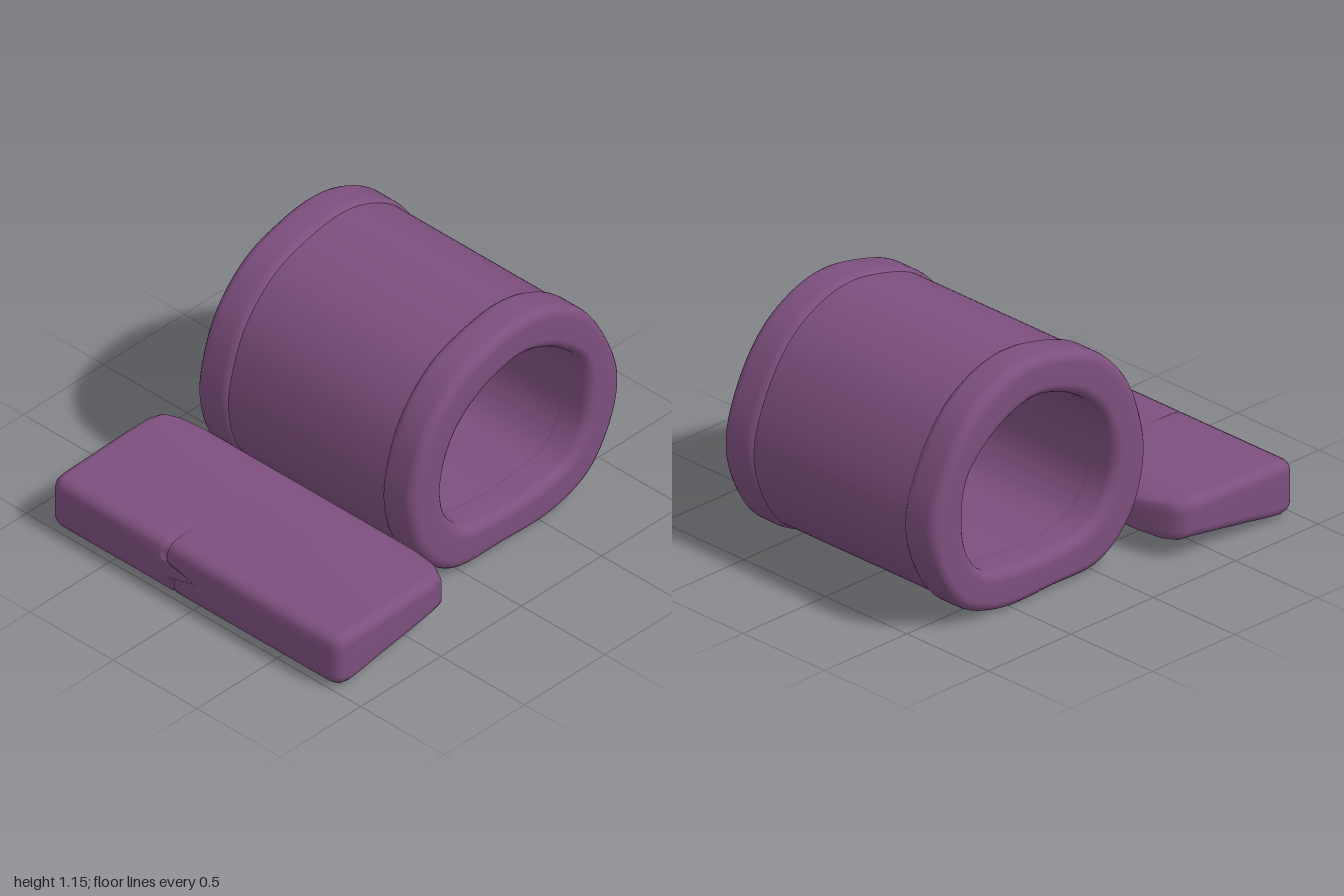
import * as THREE from 'three';

// Closed surface through rings of equal length; optionally closed from last ring to first
function loft(rings, closed) {
  const n = rings[0].length, index = [];
  const last = closed ? rings.length : rings.length - 1;
  for (let i = 0; i < last; i++) {
    const i2 = (i + 1) % rings.length;
    for (let j = 0; j < n; j++) {
      const k = (j + 1) % n;
      const a = i * n + j, b = i2 * n + j, c = i2 * n + k, d = i * n + k;
      index.push(a, b, c, a, c, d);
    }
  }
  const geo = new THREE.BufferGeometry().setFromPoints(rings.flat());
  geo.setIndex(index);
  geo.computeVertexNormals();
  return geo;
}

// Counter-clockwise rounded rectangle as [x, y] pairs, starting at the lower right corner
function roundedRect(x0, x1, y0, y1, rx, ry) {
  const pts = [], corners = [[x1 - rx, y0 + ry], [x1 - rx, y1 - ry], [x0 + rx, y1 - ry], [x0 + rx, y0 + ry]];
  corners.forEach(([cx, cy], q) => {
    for (let s = 0; s <= 5; s++) {
      const a = (q - 1 + s / 5) * Math.PI / 2;
      pts.push([cx + rx * Math.cos(a), cy + ry * Math.sin(a)]);
    }
  });
  return pts;
}

// Side outlines of the roll as [z, y], matched point for point
const outer = [[-0.4, 1.155], [-0.58, 1.115], [-0.76, 1.0], [-0.9, 0.8], [-0.99, 0.53], [-0.94, 0.3],
  [-0.8, 0.1], [-0.57, 0.01], [-0.25, 0.01], [0.05, 0.03], [0.24, 0.2], [0.315, 0.45],
  [0.29, 0.65], [0.2, 0.87], [0.02, 1.05], [-0.2, 1.13]];
const inner = [[-0.37, 0.96], [-0.5, 0.925], [-0.62, 0.86], [-0.76, 0.72], [-0.79, 0.52], [-0.76, 0.35],
  [-0.66, 0.23], [-0.5, 0.195], [-0.27, 0.185], [-0.03, 0.225], [0.08, 0.34], [0.115, 0.48],
  [0.09, 0.65], [0.02, 0.78], [-0.1, 0.88], [-0.24, 0.94]];
const toCurve = (p) => new THREE.CatmullRomCurve3(p.map(([z, y]) => new THREE.Vector3(0, y, z)), true);

// Sweeps a wall section [x, t] around the roll; t runs from 0 (inner) to 1 (outer)
function sweep(section) {
  const co = toCurve(outer), ci = toCurve(inner), rings = [], steps = 96;
  for (let i = 0; i < steps; i++) {
    const o = co.getPoint(i / steps), p = ci.getPoint(i / steps);
    rings.push(section.map(([x, t]) => {
      const v = p.clone().lerp(o, t);
      v.x = x;
      return v;
    }));
  }
  return loft(rings, true);
}

// Flat slab from cross-sections along z, with a shallow seam at its front edge
function slab() {
  // z, half width, bottom, top, corner radius
  const stations = [
    [0.25, 0.01, 0.17, 0.18, 0.004], [0.25, 0.6, 0.13, 0.21, 0.03], [0.27, 0.67, 0.1, 0.25, 0.04],
    [0.3, 0.79, 0.09, 0.268, 0.05], [0.335, 0.845, 0.09, 0.278, 0.05], [0.4, 0.862, 0.092, 0.283, 0.05],
    [0.55, 0.865, 0.07, 0.281, 0.05], [0.75, 0.865, 0.038, 0.275, 0.05], [0.85, 0.865, 0.02, 0.272, 0.05],
    [0.92, 0.865, 0.011, 0.27, 0.05], [0.96, 0.86, 0.014, 0.266, 0.05], [0.985, 0.845, 0.028, 0.252, 0.045],
    [0.998, 0.815, 0.055, 0.225, 0.04], [1.0, 0.76, 0.1, 0.18, 0.03], [1.0, 0.01, 0.137, 0.143, 0.003]];
  const rings = stations.map(([z, w, y0, y1, r]) => {
    const pts = roundedRect(-w, w, y0, y1, r, r);
    // seam points along the top and the bottom
    const f = THREE.MathUtils.smoothstep(z, 0.75, 0.97);
    const line = (y, sx, sign) => [-0.04, -0.012, 0, 0.012, 0.04].map((d) => {
      const x = w > 0.3 ? sx + d : d * 0.1;
      const depth = w > 0.3 && Math.abs(d) < 0.005 ? 0.012 * f : 0;
      return [x, y - sign * depth, depth];
    });
    const top = line(y1, -0.17, 1).reverse(), bottom = line(y0, -0.13, -1);
    const all = [...pts.slice(0, 12), ...top, ...pts.slice(12), ...bottom].reverse();
    return all.map(([x, y, d = 0]) => new THREE.Vector3(x, y, z - d));
  });
  return loft(rings, false);
}

export function createModel() {
  const group = new THREE.Group();
  const plum = new THREE.MeshStandardMaterial({ color: 0x7d4f7e });
  plum.name = 'plum';
  const add = (name, geo) => {
    const mesh = new THREE.Mesh(geo, plum);
    mesh.name = name;
    group.add(mesh);
  };

  // Hollow barrel and the thicker rolled rims at its ends
  add('barrel', sweep(roundedRect(-0.53, 0.53, 0.02, 0.92, 0.02, 0.08)));
  add('leftRim', sweep(roundedRect(0.45, 0.652, 0, 1, 0.05, 0.26)));
  add('rightRim', sweep(roundedRect(-0.652, -0.45, 0, 1, 0.05, 0.26)));

  // Flap lying in front of the roll
  add('frontFlap', slab());
  return group;
}
